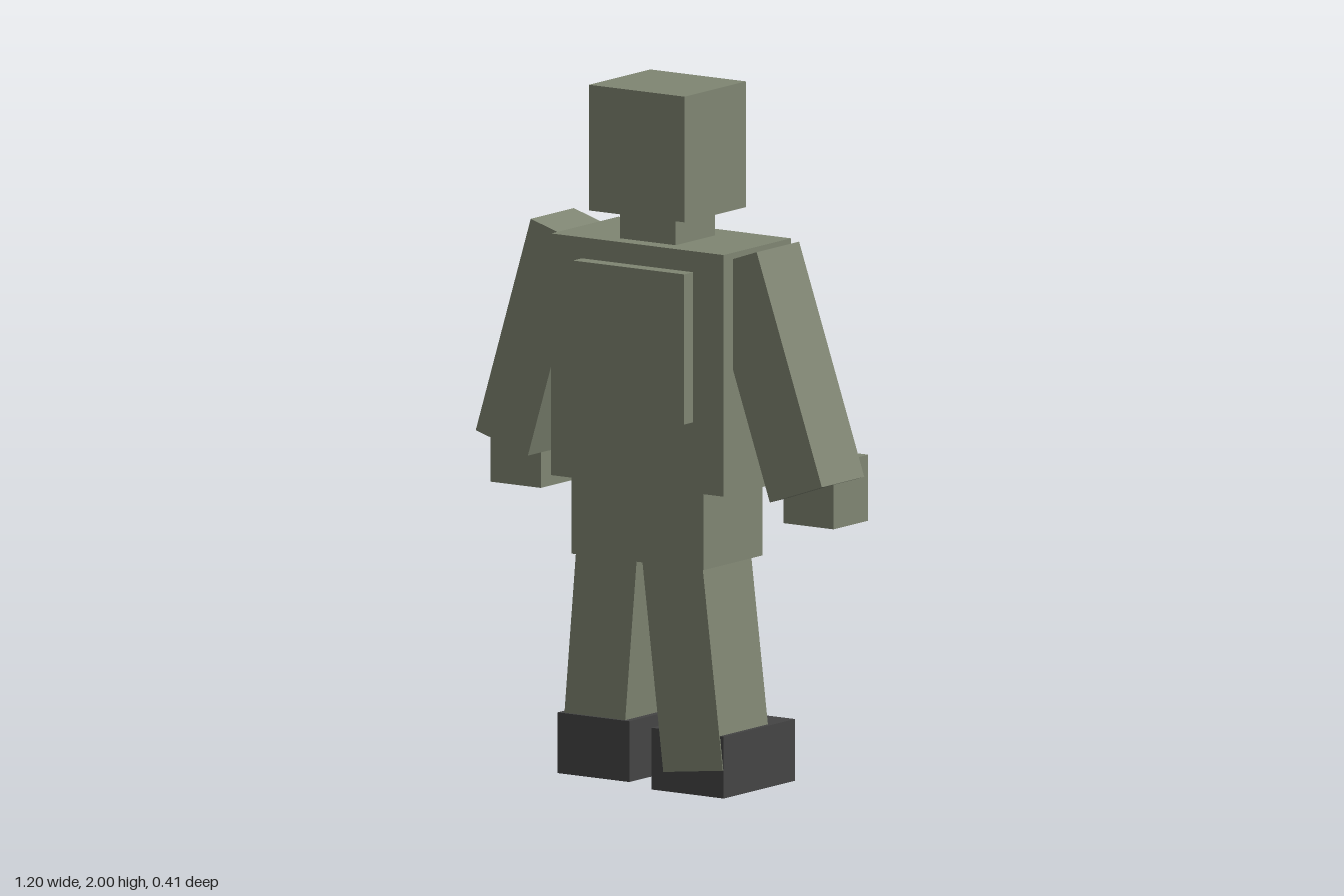
import * as THREE from 'three';

export function createModel() {
  const model = new THREE.Group();
  const mat = (name, color) => {
    const m = new THREE.MeshStandardMaterial({ color });
    m.name = name;
    return m;
  };
  const green = mat('greyGreen', 0x7f8572);
  const dark = mat('charcoal', 0x444444);
  const red = mat('eyeRed', 0xb02820);

  // Upright block given by its extents on each axis
  function block(name, material, [x0, x1], [y0, y1], [z0, z1]) {
    const mesh = new THREE.Mesh(new THREE.BoxGeometry(x1 - x0, y1 - y0, z1 - z0), material);
    mesh.position.set((x0 + x1) / 2, (y0 + y1) / 2, (z0 + z1) / 2);
    mesh.name = name;
    model.add(mesh);
  }

  // Limb leaning sideways: centre, cross-section, length and tilt about z
  function limb(name, x, y, width, length, [z0, z1], tilt) {
    const mesh = new THREE.Mesh(new THREE.BoxGeometry(width, length, z1 - z0), green);
    mesh.position.set(x, y, (z0 + z1) / 2);
    mesh.rotation.z = THREE.MathUtils.degToRad(tilt);
    mesh.name = name;
    model.add(mesh);
  }

  // Head, neck and face
  block('head', green, [-0.175, 0.155], [1.64, 2], [-0.137, 0.162]);
  block('neck', green, [-0.105, 0.087], [1.54, 1.66], [-0.083, 0.11]);
  block('jaw', green, [-0.128, 0.11], [1.63, 1.72], [-0.167, -0.055]);
  block('rightEye', red, [-0.123, -0.07], [1.853, 1.885], [-0.153, -0.12]);
  block('leftEye', red, [0.05, 0.104], [1.853, 1.885], [-0.153, -0.12]);

  // Trunk
  block('torso', green, [-0.308, 0.288], [0.868, 1.56], [-0.168, 0.16]);
  block('backPanel', green, [-0.201, 0.183], [1.07, 1.5], [0.14, 0.204]);
  block('pelvis', green, [-0.24, 0.217], [0.65, 0.9], [-0.13, 0.157]);

  // Arms and hands
  limb('leftArm', 0.393, 1.214, 0.19, 0.688, [-0.092, 0.115], 19.1);
  limb('rightArm', -0.415, 1.245, 0.188, 0.653, [-0.095, 0.115], -16.9);
  block('leftHand', green, [0.395, 0.568], [0.783, 0.972], [-0.15, 0.02]);
  block('rightHand', green, [-0.597, -0.422], [0.803, 0.99], [-0.124, 0.048]);

  // Legs and shoes
  limb('leftLeg', 0.131, 0.415, 0.207, 0.7, [-0.09, 0.147], 6.9);
  limb('rightLeg', -0.155, 0.415, 0.209, 0.66, [-0.1, 0.135], -4.9);
  block('leftShoe', dark, [0.028, 0.277], [0, 0.177], [-0.203, 0.144]);
  block('rightShoe', dark, [-0.298, -0.05], [0.013, 0.187], [-0.203, 0.142]);

  return model;
}
